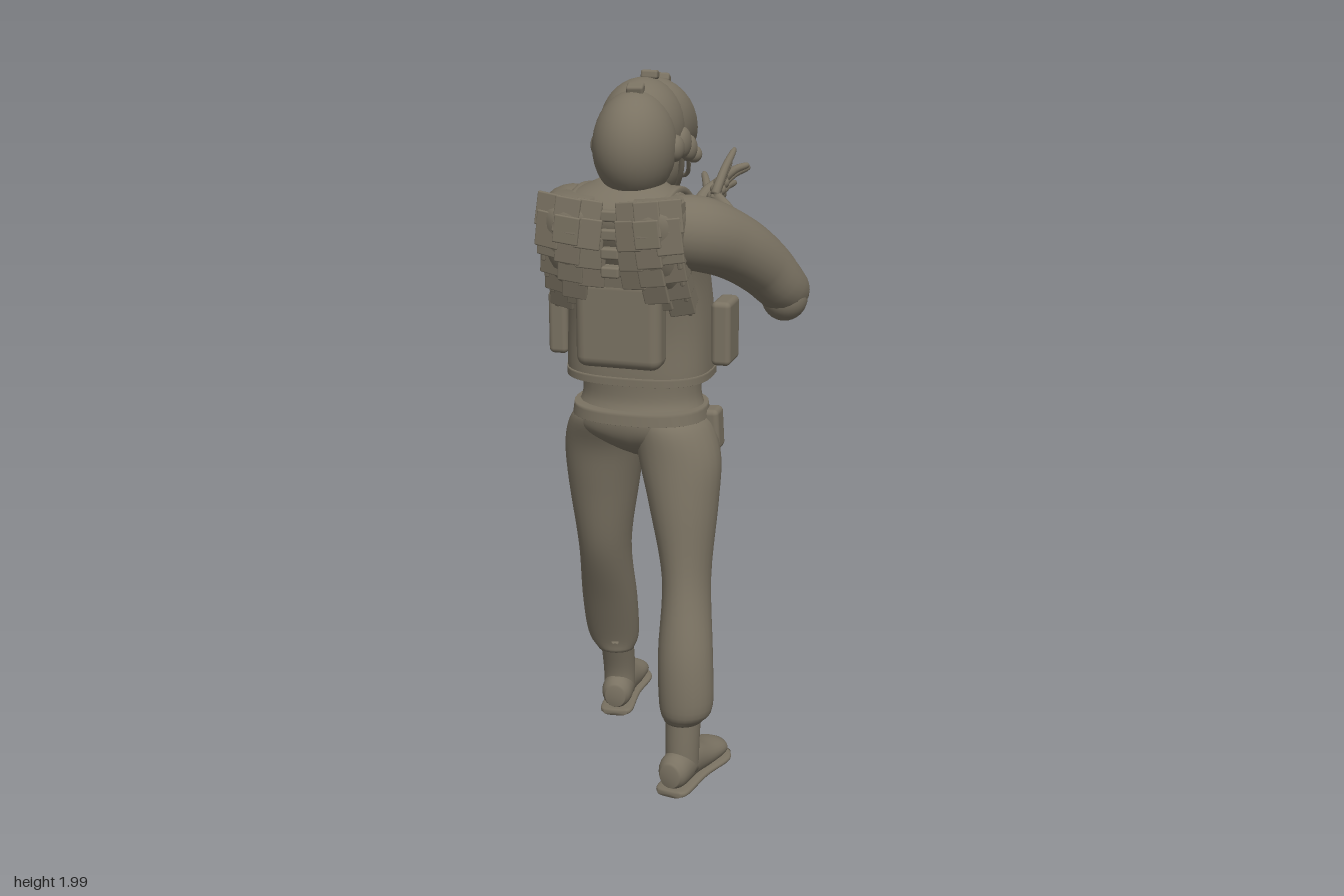
import * as THREE from 'three';
import { RoundedBoxGeometry } from 'three/addons/geometries/RoundedBoxGeometry.js';

const olive = new THREE.MeshStandardMaterial({ color: 0x7a7262, side: THREE.DoubleSide });
olive.name = 'olive drab';
const V = (x, y, z) => new THREE.Vector3(x, y, z);

// Smooth body through oval sections [x, y, z, halfWidth, halfDepth]; sections lie across a fixed axis or the path itself.
function loft(sections, axis = null, power = 1, sides = 24, steps = 5) {
  const path = new THREE.CatmullRomCurve3(sections.map(s => V(s[0], s[1], s[2])), false, 'catmullrom', 0.5);
  const size = new THREE.CatmullRomCurve3(sections.map(s => V(s[3], s[4] ?? s[3], 0)), false, 'catmullrom', 0.5);
  const count = (sections.length - 1) * steps, pos = [], idx = [];
  const ring = (t, scale) => {
    const c = path.getPoint(t), r = size.getPoint(t).multiplyScalar(scale);
    const T = axis ? axis.clone() : path.getTangent(t);
    const S = axis ? V(1, 0, 0) : T.clone().cross(V(0, 1, 0)).normalize();
    const N = T.clone().cross(S);
    for (let j = 0; j < sides; j++) {
      const a = (j / sides) * Math.PI * 2, u = Math.cos(a), w = Math.sin(a);
      const p = c.clone()
        .addScaledVector(S, Math.sign(u) * Math.abs(u) ** power * r.x)
        .addScaledVector(N, Math.sign(w) * Math.abs(w) ** power * r.y);
      pos.push(p.x, p.y, p.z);
    }
  };
  ring(0, 0.01);
  for (let i = 0; i <= count; i++) ring(i / count, 1);
  ring(1, 0.01);
  for (let i = 0; i < count + 2; i++) for (let j = 0; j < sides; j++) {
    const a = i * sides + j, b = i * sides + (j + 1) % sides, c = a + sides, d = b + sides;
    idx.push(a, b, c, b, d, c);
  }
  const g = new THREE.BufferGeometry();
  g.setAttribute('position', new THREE.Float32BufferAttribute(pos, 3));
  g.setIndex(idx);
  g.computeVertexNormals();
  return g;
}

export function createModel() {
  const model = new THREE.Group();
  const UP = V(0, 1, 0), FORWARD = V(0, 0, -1);
  const add = (name, geo, p = [0, 0, 0], r = [0, 0, 0], s = [1, 1, 1]) => {
    const m = new THREE.Mesh(geo, olive);
    m.name = name;
    m.position.set(...p);
    m.rotation.set(...r);
    m.scale.set(...s);
    model.add(m);
  };
  const box = (name, size, p, r, radius = 0.015) =>
    add(name, new RoundedBoxGeometry(...size, 3, Math.min(radius, Math.min(...size) * 0.45)), p, r);
  const ball = (name, p, s, r) => add(name, new THREE.SphereGeometry(1, 28, 20), p, r, s);

  // Trousers
  add('hips', loft([[-0.1, 0.925, 0.16, 0.03, 0.05], [-0.1, 0.955, 0.165, 0.1, 0.095], [-0.1, 1.0, 0.168, 0.185, 0.125],
    [-0.1, 1.05, 0.165, 0.186, 0.135], [-0.1, 1.1, 0.16, 0.17, 0.12], [-0.1, 1.18, 0.16, 0.17, 0.12]], UP));
  add('leftLeg', loft([[0.075, 0.2, 0.352, 0.055, 0.06], [0.085, 0.25, 0.36, 0.076, 0.072], [0.078, 0.4, 0.342, 0.077, 0.075],
    [0.062, 0.6, 0.275, 0.068, 0.085], [0.042, 0.8, 0.235, 0.097, 0.102], [0.024, 0.93, 0.21, 0.116, 0.108],
    [0.0, 1.02, 0.185, 0.108, 0.118], [-0.02, 1.06, 0.175, 0.08, 0.1]], UP));
  add('rightLeg', loft([[-0.255, 0.21, -0.045, 0.055, 0.05], [-0.262, 0.26, -0.043, 0.078, 0.06], [-0.256, 0.4, 0.005, 0.083, 0.068],
    [-0.245, 0.6, 0.075, 0.077, 0.085], [-0.237, 0.8, 0.1, 0.103, 0.1], [-0.223, 0.93, 0.125, 0.116, 0.1],
    [-0.2, 1.02, 0.152, 0.108, 0.112], [-0.18, 1.06, 0.165, 0.08, 0.1]], UP));

  // Shoes
  const shoe = (name, x, z, yaw, ankle, ankleTop) => {
    const g = new THREE.Group();
    g.name = name;
    const part = (n, geo) => { const m = new THREE.Mesh(geo, olive); m.name = n; g.add(m); };
    part('sole', loft([[0, 0.01, 0.152, 0.035, 0.01], [0, 0.01, 0.12, 0.05, 0.01], [0, 0.01, 0, 0.05, 0.01],
      [0, 0.01, -0.11, 0.067, 0.01], [0, 0.01, -0.16, 0.048, 0.01]], FORWARD, 0.6));
    part('upper', loft([[0, 0.06, 0.148, 0.03, 0.034], [0, 0.065, 0.115, 0.046, 0.052], [0, 0.065, 0.03, 0.046, 0.054],
      [0, 0.048, -0.05, 0.054, 0.04], [0, 0.04, -0.12, 0.056, 0.03], [0, 0.035, -0.155, 0.035, 0.018]], FORWARD));
    part('ankle', loft([[0, 0.05, ankle, 0.046, 0.05], [0, 0.13, ankle, 0.048, 0.05], [0, 0.25, ankleTop, 0.05, 0.054]], UP));
    g.position.set(x, 0, z);
    g.rotation.y = yaw;
    model.add(g);
  };
  shoe('leftShoe', 0.085, 0.3, -0.17, 0.062, 0.052);
  shoe('rightShoe', -0.265, -0.15, 0.12, 0.072, 0.11);

  // Belt with buckle, pouches and holster
  add('belt', loft([[-0.1, 1.04, 0.168, 0.193, 0.146], [-0.1, 1.075, 0.168, 0.188, 0.143]], UP, 0.85, 36));
  box('buckle', [0.06, 0.045, 0.02], [-0.1, 1.058, 0.02]);
  box('beltPouch', [0.05, 0.045, 0.03], [0.0, 1.058, 0.04], [0, 0.4, 0]);
  box('holster', [0.05, 0.12, 0.07], [0.1, 1.0, 0.14], [0, 0, 0.05]);

  // Torso and vest
  add('torso', loft([[-0.1, 1.3, 0.16, 0.18, 0.14], [-0.1, 1.45, 0.185, 0.185, 0.16], [-0.1, 1.57, 0.235, 0.205, 0.175],
    [-0.1, 1.64, 0.275, 0.2, 0.155], [-0.1, 1.685, 0.29, 0.15, 0.11], [-0.095, 1.72, 0.27, 0.08, 0.07]], UP, 0.9));
  add('vest', loft([[-0.1, 1.16, 0.16, 0.2, 0.157], [-0.1, 1.18, 0.16, 0.203, 0.16], [-0.1, 1.3, 0.16, 0.2, 0.16],
    [-0.1, 1.42, 0.175, 0.192, 0.163], [-0.1, 1.5, 0.2, 0.19, 0.165]], UP, 0.75, 36));
  add('vestHem', loft([[-0.1, 1.157, 0.16, 0.205, 0.163], [-0.1, 1.18, 0.16, 0.205, 0.163]], UP, 0.75, 36));
  for (const side of [-1, 1]) {
    const x = -0.1 + side * 0.11;
    add('shoulderStrap', loft([[x, 1.45, 0.015, 0.03, 0.012], [x, 1.57, 0.055, 0.03, 0.012], [x, 1.66, 0.15, 0.03, 0.012],
      [x, 1.69, 0.26, 0.03, 0.012], [x, 1.67, 0.39, 0.03, 0.012]], null, 0.5, 16));
    box('sidePouch', [0.055, 0.18, 0.11], [-0.097 + side * 0.235, 1.29, 0.155]);
  }
  for (const x of [-0.185, -0.1, -0.015])
    box('chestPouch', [0.07, 0.19, 0.065], [x, 1.325, -0.025], [0, 0, 0], 0.02);
  box('backpack', [0.24, 0.25, 0.09], [-0.1, 1.345, 0.345], [0, 0, 0], 0.03);
  box('backpackFlap', [0.2, 0.1, 0.08], [-0.1, 1.46, 0.35], [0.15, 0, 0], 0.02);

  // Shoulder blades carrying overlapping ragged plates, with a sunken spine between
  for (const side of [-1, 1]) {
    const x = -0.1 + side * 0.115;
    add('shoulderBlade', loft([[x, 1.4, 0.28, 0.06, 0.07], [x, 1.5, 0.345, 0.075, 0.085], [x, 1.59, 0.37, 0.08, 0.09],
      [x, 1.65, 0.375, 0.08, 0.088], [x, 1.69, 0.37, 0.06, 0.07]], UP, 0.75));
    [0.455, 0.46, 0.45, 0.43, 0.398, 0.362].forEach((z, row) => {
      const y = 1.655 - row * 0.048;
      for (let col = 0; col < 3; col++) {
        if (col === 0 && row > 3) continue;
        const drop = ((row * 5 + col * 3) % 4) * 0.007;
        box('backPlate', [0.07, 0.075 + drop, 0.012],
          [-0.1 + side * (0.055 + col * 0.055), y - drop / 2 + col * 0.006, z - (col === 0 ? 0.012 : (col - 1) * 0.012)],
          [-0.12 + row * 0.1, side * (col - 1) * 0.2, side * 0.12], 0.004);
      }
      // Outer flap wrapping towards the arm
      box('sideFlap', [0.012, 0.07, 0.07], [-0.1 + side * 0.185, y, z - 0.05], [row * 0.1, 0, side * 0.1], 0.004);
    });
  }
  for (let i = 0; i < 4; i++) box('spineClip', [0.05, 0.03, 0.03], [-0.1, 1.65 - i * 0.05, 0.425], [0, 0, 0], 0.006);

  // Arms
  add('leftArm', loft([[0.0, 1.6, 0.34, 0.085], [0.09, 1.59, 0.3, 0.1], [0.17, 1.545, 0.22, 0.092], [0.235, 1.475, 0.14, 0.082],
    [0.283, 1.395, 0.07, 0.07], [0.235, 1.4, -0.02, 0.068], [0.16, 1.445, -0.09, 0.052], [0.083, 1.505, -0.165, 0.031]]));
  ball('leftElbow', [0.285, 1.375, 0.075], [0.064, 0.066, 0.065]);
  add('rightArm', loft([[-0.19, 1.6, 0.34, 0.085], [-0.258, 1.595, 0.26, 0.1], [-0.272, 1.545, 0.16, 0.088], [-0.262, 1.465, 0.06, 0.076],
    [-0.24, 1.4, -0.03, 0.068], [-0.18, 1.42, -0.125, 0.062], [-0.115, 1.475, -0.21, 0.044], [-0.068, 1.53, -0.275, 0.029]]));
  ball('rightElbow', [-0.24, 1.395, -0.035], [0.062, 0.066, 0.062]);

  // Hands with spread fingers
  const hand = (name, wrist, palm, tips) => {
    const mid = V(...wrist).lerp(V(...palm), 0.5);
    add(name + 'Palm', loft([[...wrist, 0.027, 0.027], [...mid.toArray(), 0.024, 0.04], [...palm, 0.018, 0.036]], null, 1, 16));
    tips.forEach((t, i) => {
      const tip = V(...t);
      const base = i === 0 ? mid.clone() : V(...palm).add(V(0.004 * (i - 2.5), 0.016 * (i - 2.5), 0.015));
      const knuckle = base.clone().lerp(tip, 0.5).add(V(0, 0.008, 0));
      add(name + 'Finger', loft([[...base.toArray(), 0.014], [...knuckle.toArray(), 0.012],
        [...base.clone().lerp(tip, 0.9).toArray(), 0.0095], [...tip.toArray(), 0.005]], null, 1, 10, 3));
    });
  };
  hand('rightHand', [-0.068, 1.53, -0.275], [-0.018, 1.58, -0.365],
    [[-0.075, 1.62, -0.385], [0.0, 1.58, -0.465], [-0.005, 1.61, -0.487], [0.045, 1.63, -0.455], [0.06, 1.65, -0.39]]);
  hand('leftHand', [0.083, 1.505, -0.165], [-0.002, 1.565, -0.235],
    [[0.015, 1.56, -0.27], [-0.02, 1.59, -0.35], [0.0, 1.63, -0.37], [0.01, 1.66, -0.37], [0.025, 1.7, -0.36]]);
  for (let i = 0; i < 5; i++)
    ball('gloveRidge', [-0.008, 1.545 + i * 0.014, -0.19 - i * 0.036], [0.024, 0.02, 0.022]);

  // Neck and head
  const cx = -0.085;
  add('neck', loft([[-0.095, 1.62, 0.26, 0.075, 0.08], [-0.09, 1.7, 0.21, 0.065, 0.07], [cx, 1.78, 0.15, 0.065, 0.07]], UP));
  add('collar', new THREE.TorusGeometry(0.075, 0.02, 10, 28), [-0.095, 1.68, 0.24], [1.3, 0, 0]);
  ball('face', [cx, 1.745, 0.075], [0.08, 0.105, 0.1], [-0.2, 0, 0]);
  ball('jaw', [cx, 1.675, 0.075], [0.055, 0.045, 0.065]);
  ball('nose', [cx, 1.725, -0.028], [0.014, 0.026, 0.018]);

  // Helmet shell built along the head, then rear bulge and crown ridge
  add('helmetShell', loft([[cx, 1.83, 0.22, 0.1, 0.125], [cx, 1.85, 0.13, 0.114, 0.122], [cx, 1.842, 0.06, 0.112, 0.112],
    [cx, 1.818, 0.0, 0.1, 0.09], [cx, 1.79, -0.05, 0.08, 0.064], [cx, 1.768, -0.082, 0.05, 0.035]], FORWARD, 0.95, 32));
  ball('helmetBack', [-0.08, 1.81, 0.275], [0.11, 0.145, 0.135]);
  ball('helmetCrown', [cx, 1.845, 0.19], [0.112, 0.132, 0.15]);
  [[1.755, -0.115, -1.1], [1.89, -0.03, -0.9], [1.955, 0.04, -0.5], [1.98, 0.15, -0.15], [1.96, 0.28, 0.3]]
    .forEach(([y, z, tilt]) => box('helmetClip', [0.046, 0.024, 0.036], [-0.075, y, z], [tilt, 0.1, 0], 0.007));

  // Headset and chin strap on both sides
  for (const side of [-1, 1]) {
    const x = cx + side * 0.105;
    for (const [y, z, r] of [[1.8, 0.235, 0.036], [1.805, 0.17, 0.042], [1.78, 0.11, 0.036], [1.755, 0.06, 0.024]])
      ball('headsetCup', [x, y, z], [0.024, r, r]);
    add('chinStrap', new THREE.TubeGeometry(new THREE.CatmullRomCurve3([V(cx + side * 0.095, 1.78, 0.13),
      V(cx + side * 0.075, 1.7, 0.09), V(cx + side * 0.04, 1.645, 0.05), V(cx, 1.635, 0.04)]), 16, 0.008, 8));
  }
  add('microphoneBoom', new THREE.TubeGeometry(new THREE.CatmullRomCurve3([V(0.02, 1.77, 0.11), V(0.0, 1.7, 0.05),
    V(-0.04, 1.68, 0.0)]), 14, 0.006, 8));
  ball('microphone', [-0.045, 1.68, -0.005], [0.014, 0.012, 0.012]);

  return model;
}
